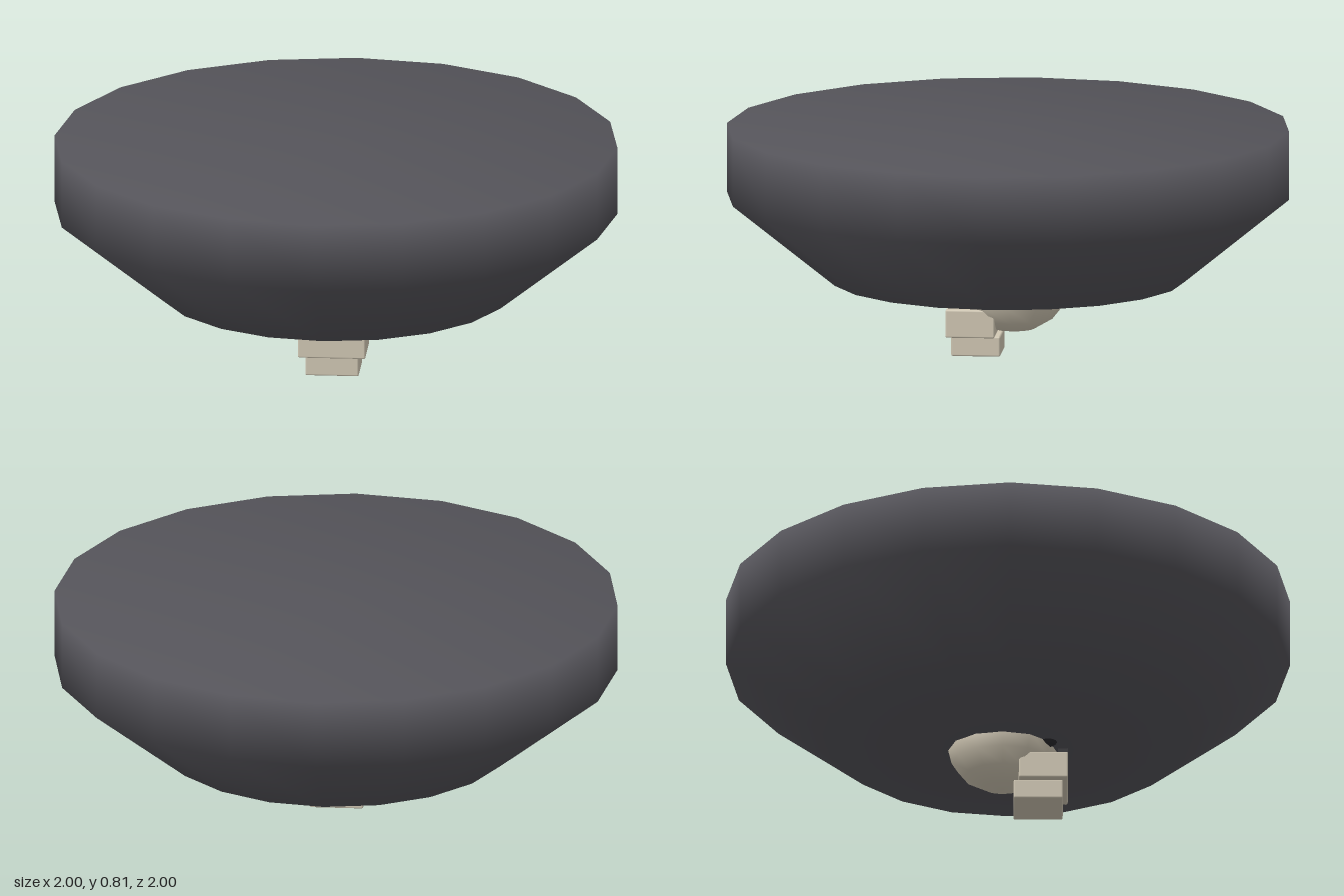
import * as THREE from 'three';
import { RoundedBoxGeometry } from 'three/addons/geometries/RoundedBoxGeometry.js';

export function createModel() {
  const group = new THREE.Group();
  const dark = new THREE.MeshStandardMaterial({ color: 0x55545a });
  const bone = new THREE.MeshStandardMaterial({ color: 0xd2c9b5 });
  const black = new THREE.MeshStandardMaterial({ color: 0x2a2a2e });

  const add = (name, geometry, material, x, y, z) => {
    const mesh = new THREE.Mesh(geometry, material);
    mesh.name = name;
    mesh.position.set(x, y, z);
    group.add(mesh);
    return mesh;
  };

  // Wide twenty-sided crown, closed by a flat top and smoothly shaded
  const profile = [[0, 0.22], [0.2, 0.226], [0.63, 0.265], [1, 0.565], [1, 0.81], [0, 0.81]]
    .map(([r, y]) => new THREE.Vector2(r, y));
  add('crown', new THREE.LatheGeometry(profile, 20), dark, 0, 0, 0);

  // Rounded skull tucked under the crown
  add('skull', new THREE.SphereGeometry(1, 12, 8), bone, 0, 0.24, -0.02).scale.set(0.17, 0.165, 0.195);

  // Two stacked jaw blocks with softened edges
  add('upperJaw', new RoundedBoxGeometry(0.24, 0.1, 0.175, 1, 0.006), bone, 0, 0.12, 0.125);
  add('lowerJaw', new RoundedBoxGeometry(0.19, 0.072, 0.175, 1, 0.006), bone, 0, 0.036, 0.107);

  // Nose strip and eye sockets
  add('nose', new THREE.BoxGeometry(0.044, 0.075, 0.035), black, 0, 0.2, 0.195);
  for (const side of [-1, 1]) {
    add('eyeSocket', new THREE.SphereGeometry(0.045, 12, 8), black, side * 0.075, 0.255, 0.14);
  }
  return group;
}
